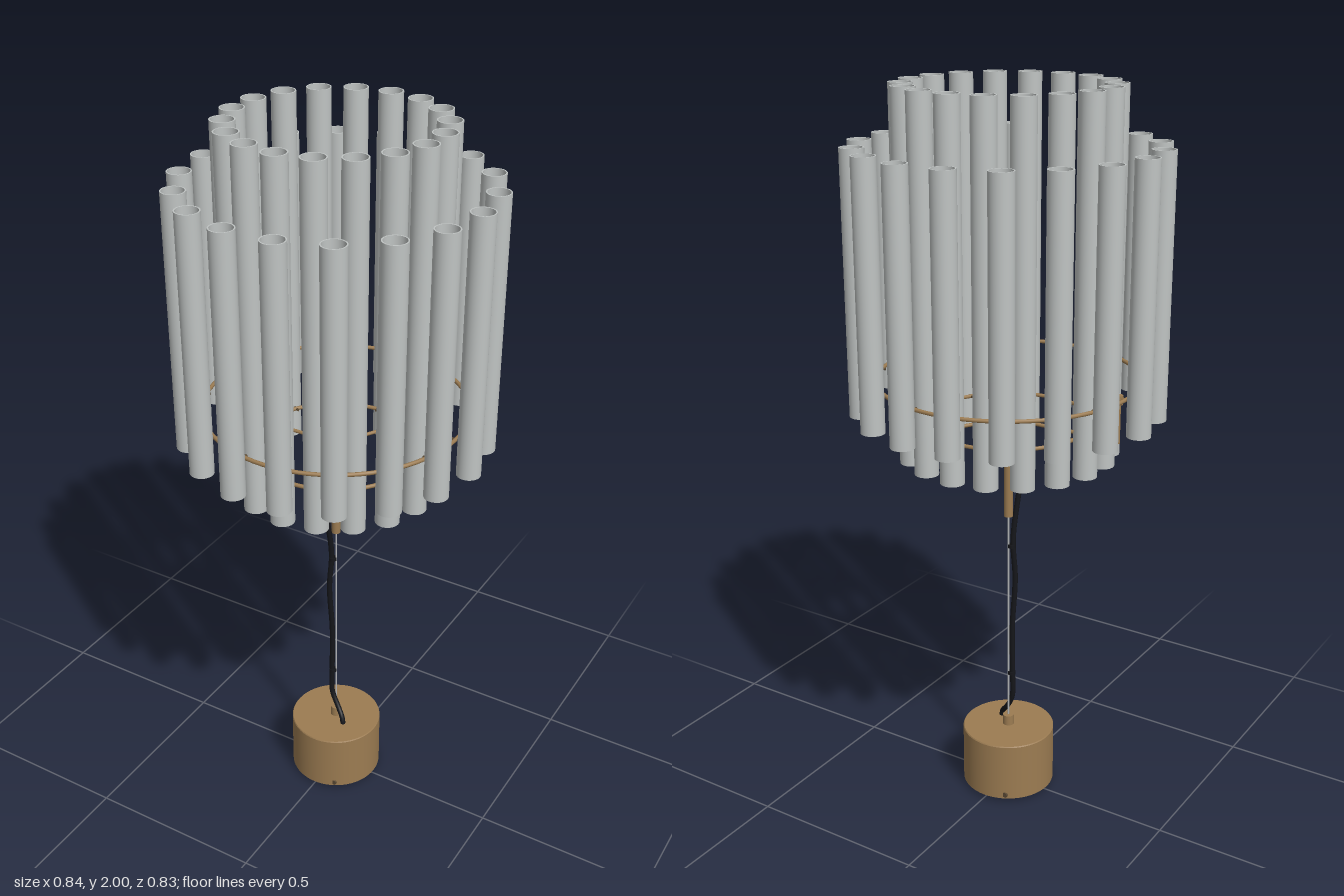
import * as THREE from 'three';
import { mergeGeometries } from 'three/addons/utils/BufferGeometryUtils.js';

const material = (name, color) => Object.assign(new THREE.MeshStandardMaterial({ color }), { name });

// Turned solid with sharp edges between profile points; the profile runs bottom to top on the outside
function turned(profile, segments = 32) {
  const bands = [];
  for (let i = 0; i + 1 < profile.length; i++) {
    const pair = [profile[i], profile[i + 1]].map(([r, y]) => new THREE.Vector2(r, y));
    bands.push(new THREE.LatheGeometry(pair, segments));
  }
  return mergeGeometries(bands);
}

// Hollow pipe, closed at both rims
const pipe = (rOut, rIn, y0, y1, segments) =>
  turned([[rOut, y0], [rOut, y1], [rIn, y1], [rIn, y0], [rOut, y0]], segments);

const rod = (r, y0, y1, segments = 20) => turned([[0, y0], [r, y0], [r, y1], [0, y1]], segments);

export function createModel() {
  const brass = material('brass', 0x9c7c52);
  const darkBrass = material('dark brass', 0x5c4b35);
  const glass = material('frosted glass', 0xc0c4c3);
  const black = material('black cord', 0x15161a);
  const steel = material('steel', 0xb4b6b8);

  const model = new THREE.Group();
  model.name = 'tubeChandelier';
  function add(name, geometry, mat, parent = model) {
    const mesh = new THREE.Mesh(geometry, mat);
    mesh.name = name;
    parent.add(mesh);
    return mesh;
  }

  // Each tier: a ring with 18 hollow tubes clipped around it
  function tier(name, { ringR, ringY, tubeR, y0, y1, start }) {
    const group = new THREE.Group();
    group.name = name;
    model.add(group);
    const ring = add('ring', new THREE.TorusGeometry(ringR, 0.0055, 8, 72), brass, group);
    ring.rotation.x = Math.PI / 2;
    ring.position.y = ringY;
    const tubeGeometry = pipe(0.032, 0.0285, y0, y1, 24);
    const clipGeometry = new THREE.CylinderGeometry(0.0035, 0.0035, 0.026, 8).rotateZ(Math.PI / 2);
    const nutGeometry = new THREE.CylinderGeometry(0.006, 0.006, 0.006, 6).rotateZ(Math.PI / 2);
    for (let i = 0; i < 18; i++) {
      const arm = new THREE.Group();
      arm.name = 'tubeUnit';
      arm.rotation.y = start + (i * Math.PI) / 9;
      group.add(arm);
      add('tube', tubeGeometry, glass, arm).position.x = tubeR;
      add('clip', clipGeometry, darkBrass, arm).position.set(ringR + 0.002, ringY, 0);
      add('clipNut', nutGeometry, darkBrass, arm).position.set(tubeR - 0.026, ringY, 0);
    }
  }
  tier('outerTier', { ringR: 0.35, ringY: 1.24, tubeR: 0.39, y0: 1.15, y1: 1.85, start: 0 });
  tier('innerTier', { ringR: 0.227, ringY: 1.12, tubeR: 0.267, y0: 1.03, y1: 2, start: Math.PI / 2 });

  // Three spokes, each with a post up to the outer ring
  for (let i = 0; i < 3; i++) {
    const spoke = new THREE.Group();
    spoke.name = 'spoke';
    spoke.rotation.y = Math.PI + (i * Math.PI * 2) / 3;
    model.add(spoke);
    const bar = add('spokeBar', new THREE.CylinderGeometry(0.005, 0.005, 0.28, 10), brass, spoke);
    bar.rotation.z = Math.PI / 2;
    bar.position.set(0.195, 1.125, 0);
    add('spokePost', rod(0.005, 1.12, 1.245, 10), brass, spoke).position.x = 0.332;
    add('spokeKnob', rod(0.01, 1.225, 1.25, 12), brass, spoke).position.x = 0.332;
    const tip = add('ringBracket', new THREE.BoxGeometry(0.02, 0.008, 0.008), brass, spoke);
    tip.position.set(0.342, 1.24, 0);
  }

  // Central hub and lamp socket
  add('hub', turned([[0, 1.105], [0.063, 1.105], [0.063, 1.145], [0.047, 1.145], [0.047, 1.32],
    [0.042, 1.32], [0.042, 1.15], [0, 1.15]], 40), brass);
  add('socket', turned([[0.04, 1.15], [0.04, 1.31], [0.03, 1.31], [0.03, 1.22], [0, 1.22]], 32), steel);
  const contact = add('socketContact', new THREE.BoxGeometry(0.045, 0.006, 0.012), brass);
  contact.position.y = 1.225;
  for (const z of [-0.018, 0.018]) {
    add('socketScrew', rod(0.005, 1.22, 1.228, 12), darkBrass).position.z = z;
  }

  // Stem, suspension wire and ceiling canopy
  add('stem', rod(0.0125, 0.84, 1.105), brass);
  add('suspensionWire', rod(0.0025, 0.2, 0.85, 8), steel);
  add('canopyNipple', rod(0.016, 0.175, 0.212), brass);
  add('canopy', turned([[0.122, 0.024], [0.122, 0.01], [0.131, 0.01], [0.131, 0.179],
    [0.129, 0.182], [0, 0.182]], 64), brass);
  add('canopyPlate', rod(0.122, 0.012, 0.022, 64), darkBrass);
  for (const [x, z] of [[0.06, 0.07], [-0.06, -0.07]]) {
    add('plateScrew', rod(0.008, 0, 0.014, 12), darkBrass).position.set(x, 0, z);
  }
  for (const side of [-1, 1]) {
    const screw = add('rimScrew', new THREE.CylinderGeometry(0.008, 0.008, 0.006, 12), darkBrass);
    screw.rotation.set(Math.PI / 2, 0, -side * 0.49);
    screw.position.set(side * 0.061, 0.022, side * 0.115);
    screw.rotation.set(Math.PI / 2, 0, 0);
  }

  // Power cord hanging loosely beside the wire
  const cordPath = new THREE.CatmullRomCurve3([
    [-0.025, 1.11, 0.045], [-0.025, 1.02, 0.042], [-0.02, 0.92, 0.025], [-0.011, 0.77, 0.007],
    [-0.016, 0.65, 0.01], [-0.01, 0.5, 0.005], [-0.01, 0.36, 0.006], [-0.008, 0.27, 0.008],
    [0.015, 0.225, 0.014], [0.036, 0.2, 0.026], [0.042, 0.175, 0.03],
  ].map((p) => new THREE.Vector3(...p)));
  add('powerCord', new THREE.TubeGeometry(cordPath, 80, 0.0075, 10), black);
  for (const y of [0.35, 0.75]) {
    add('cordTie', pipe(0.011, 0.008, y - 0.005, y + 0.005, 16), black).position.set(-0.008, 0, 0.005);
  }

  return model;
}
